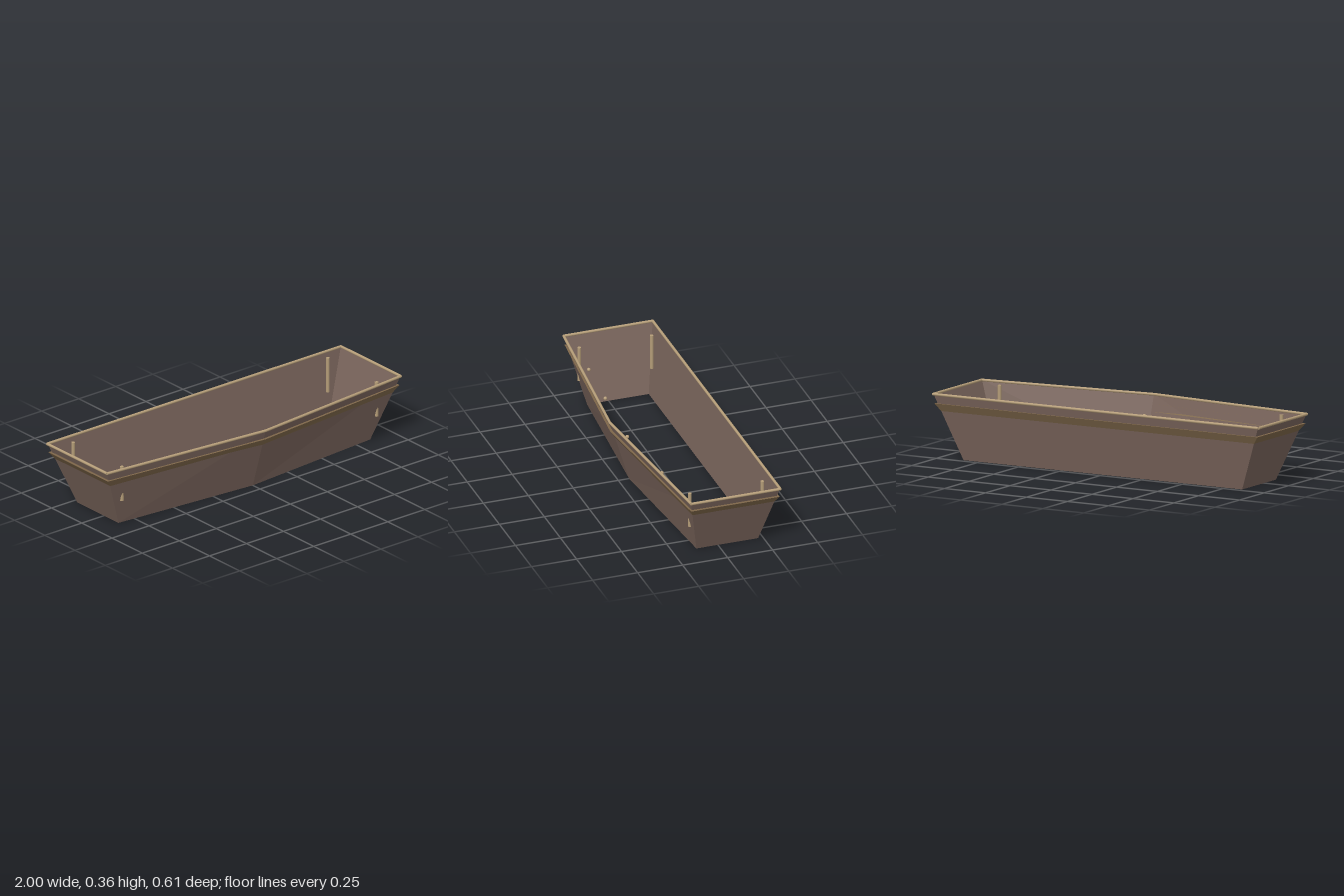
import * as THREE from 'three';

const wood = new THREE.MeshStandardMaterial({ color: 0x78635a, side: THREE.DoubleSide, flatShading: true });
const band = new THREE.MeshStandardMaterial({ color: 0x7d6649, side: THREE.DoubleSide, flatShading: true });
const trim = new THREE.MeshStandardMaterial({ color: 0xb59d78 });

// Five-cornered plan: half width, back z, front corner z, front centre z
function ring(y, halfWidth, back, corner, centre) {
  return [
    [-halfWidth, y, back], [-halfWidth, y, corner], [0, y, centre],
    [halfWidth, y, corner], [halfWidth, y, back],
  ].map((p) => new THREE.Vector3(...p));
}

// Plan of the sloping wall at height y
const wallRing = (y) => ring(y, 0.85 + 0.4 * y, -0.223 - 0.205 * y, 0.12 + 0.225 * y, 0.19 + 0.305 * y);

// Skin between successive rings, wound to face outward
function loft(rings, material, name) {
  const points = [];
  for (let r = 0; r < rings.length - 1; r++) {
    const low = rings[r], high = rings[r + 1];
    for (let i = 0; i < low.length; i++) {
      const j = (i + 1) % low.length;
      points.push(low[i], low[j], high[j], low[i], high[j], high[i]);
    }
  }
  const geometry = new THREE.BufferGeometry().setFromPoints(points);
  geometry.computeVertexNormals();
  const mesh = new THREE.Mesh(geometry, material);
  mesh.name = name;
  return mesh;
}

function rod(a, b, radius, name) {
  const mesh = new THREE.Mesh(new THREE.CylinderGeometry(radius, radius, a.distanceTo(b), 12), trim);
  mesh.position.copy(a).lerp(b, 0.5);
  mesh.quaternion.setFromUnitVectors(new THREE.Vector3(0, 1, 0), b.clone().sub(a).normalize());
  mesh.name = name;
  return mesh;
}

export function createModel() {
  const model = new THREE.Group();
  model.name = 'openTub';

  // Sloping walls, open above and below
  model.add(loft([wallRing(0), wallRing(0.35)], wood, 'walls'));

  // Flared band around the outside with a narrow top ledge
  model.add(loft([wallRing(0.26), ring(0.3, 0.985, -0.295, 0.197, 0.296), wallRing(0.3)], band, 'flaredBand'));

  // Round rail along the top edge
  const rail = new THREE.Group();
  rail.name = 'topRail';
  const top = ring(0.349, 0.992, -0.296, 0.199, 0.296);
  top.forEach((p, i) => rail.add(rod(p, top[(i + 1) % top.length], 0.0075, 'railSection')));
  model.add(rail);

  // Upright posts near the corners
  for (const side of [-1, 1]) {
    for (const [z, name] of [[0.16, 'frontPost'], [-0.243, 'backPost']]) {
      model.add(rod(new THREE.Vector3(side * 0.86, 0.145, z), new THREE.Vector3(side * 0.86, 0.34, z), 0.01, name));
    }
  }

  // Two rows of small pegs behind the front wall
  const pegs = new THREE.Group();
  pegs.name = 'frontPegs';
  for (const x of [-0.77, -0.44, 0, 0.44, 0.77]) {
    for (const y of [0.13, 0.25]) {
      const peg = new THREE.Mesh(new THREE.SphereGeometry(0.01, 10, 8), trim);
      peg.name = 'peg';
      peg.position.set(x, y, 0.2 - 0.08 * Math.abs(x));
      pegs.add(peg);
    }
  }
  model.add(pegs);
  return model;
}
